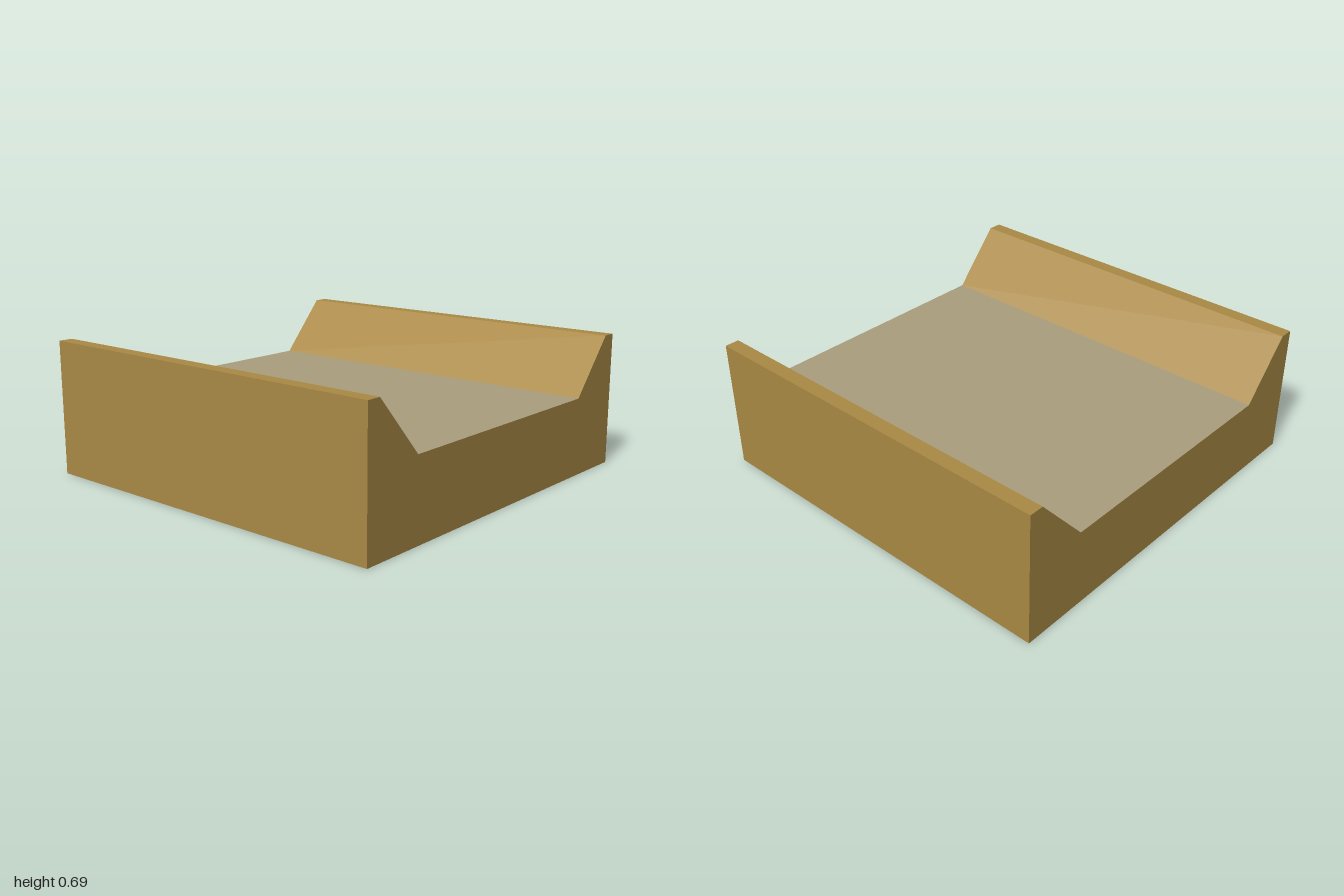
import * as THREE from 'three';

export function createModel() {
  const group = new THREE.Group();
  const wood = new THREE.MeshStandardMaterial({ color: 0xaa8a45, side: THREE.DoubleSide });
  wood.name = 'ochre wood';
  const stone = new THREE.MeshStandardMaterial({ color: 0xaaa07e, side: THREE.DoubleSide });
  stone.name = 'grey floor';

  const add = (name, geometry, material) => {
    const mesh = new THREE.Mesh(geometry, material);
    mesh.name = name;
    group.add(mesh);
    return mesh;
  };

  // Cross-section as [z, y], running from the front foot over to the back foot
  const half = [[1, 0], [1, 0.693], [0.925, 0.693], [0.67, 0.405]];
  const profile = [...half, ...half.map(([z, y]) => [-z, y]).reverse()];
  const names = ['frontWall', 'frontLedge', 'frontSlope', 'floor', 'backSlope', 'backLedge', 'backWall'];

  // One thin panel along x for each edge of the cross-section; the underside is open
  names.forEach((name, i) => {
    const [z1, y1] = profile[i];
    const [z2, y2] = profile[i + 1];
    const panel = new THREE.PlaneGeometry(2, Math.hypot(z2 - z1, y2 - y1));
    panel.rotateX(Math.atan2(z2 - z1, y2 - y1));
    panel.translate(0, (y1 + y2) / 2, (z1 + z2) / 2);
    add(name, panel, name === 'floor' ? stone : wood);
  });

  // End walls follow the cross-section
  const outline = new THREE.Shape(profile.map(([z, y]) => new THREE.Vector2(z, y)));
  for (const side of [1, -1]) {
    const wall = add(side > 0 ? 'leftWall' : 'rightWall', new THREE.ShapeGeometry(outline), wood);
    wall.rotation.y = side * Math.PI / 2;
    wall.position.x = side;
  }
  return group;
}
